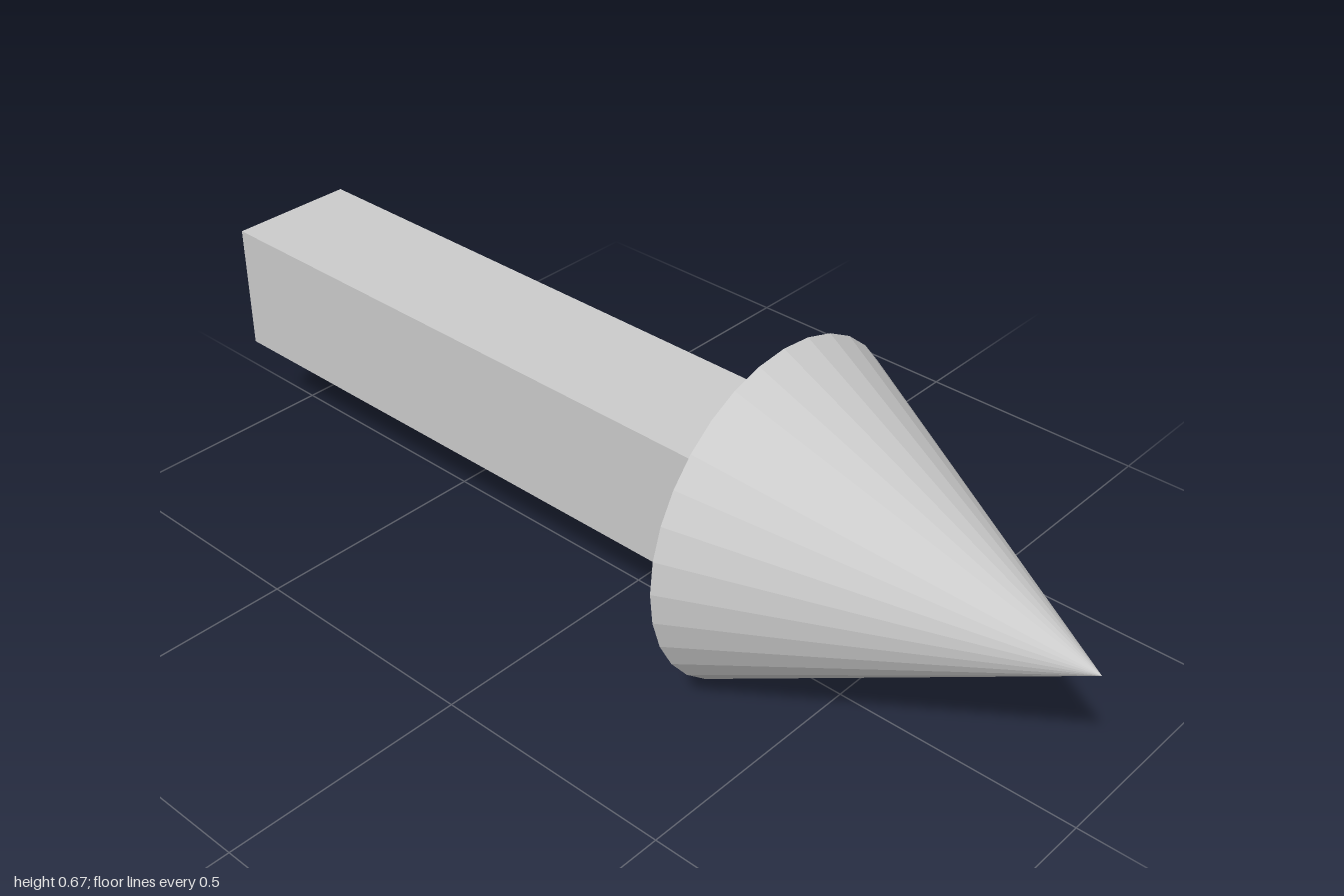
import * as THREE from 'three';

export function createModel() {
  const radius = 1 / 3; // cone radius, also the height of the arrow's axis
  const headLength = 2 / 3;
  const shaftLength = 4 / 3;
  const shaftWidth = 0.266;

  const material = new THREE.MeshStandardMaterial({ color: 0xcccccc, flatShading: true });
  const arrow = new THREE.Group();
  arrow.name = 'arrow';

  // Faceted cone with its tip facing +z
  const headGeometry = new THREE.ConeGeometry(radius, headLength, 32);
  headGeometry.rotateX(Math.PI / 2);
  const head = new THREE.Mesh(headGeometry, material);
  head.name = 'arrowHead';
  head.position.set(0, radius, 1 - headLength / 2);

  // Square shaft running back from the base of the cone
  const shaft = new THREE.Mesh(new THREE.BoxGeometry(shaftWidth, shaftWidth, shaftLength), material);
  shaft.name = 'arrowShaft';
  shaft.position.set(0, radius, -1 + shaftLength / 2);

  arrow.add(head, shaft);
  return arrow;
}
